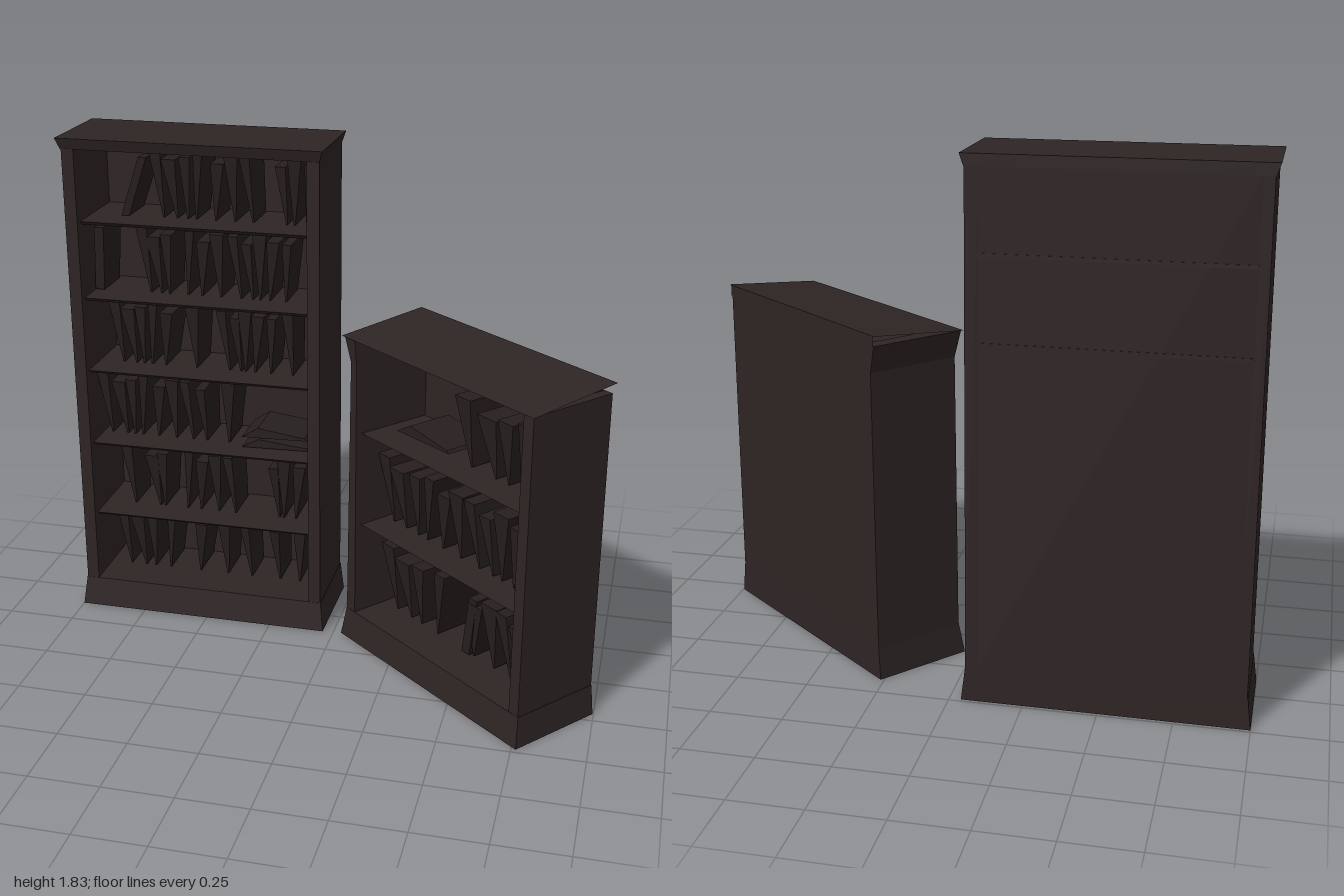
import * as THREE from 'three';

const wood = new THREE.MeshStandardMaterial({ color: 0x2e2424 });
wood.name = 'dark wood';
const cover = new THREE.MeshStandardMaterial({ color: 0x271f1f });
cover.name = 'dark book cover';
const panel = new THREE.MeshStandardMaterial({ color: 0x2e2424, side: THREE.DoubleSide });
panel.name = 'thin dark wood';

// Six-sided block between two level rectangles, each given as [x0, x1, zBack, zFront].
function block(parent, name, y0, low, y1, high = low, material = wood) {
  const g = new THREE.BoxGeometry(1, 1, 1);
  const p = g.attributes.position;
  for (let i = 0; i < p.count; i++) {
    const up = p.getY(i) > 0;
    const r = up ? high : low;
    p.setXYZ(i, p.getX(i) < 0 ? r[0] : r[1], up ? y1 : y0, p.getZ(i) < 0 ? r[2] : r[3]);
  }
  g.computeVertexNormals();
  const mesh = new THREE.Mesh(g, material);
  mesh.name = name;
  parent.add(mesh);
  return mesh;
}

// Row of wedge-shaped books: wide at the top, pointed at the foot.
function bookRow(parent, y, height, xs, width, lean) {
  const row = new THREE.Group();
  row.name = 'bookRow';
  xs.forEach((x, i) => {
    const h = height * (0.92 + 0.08 * Math.cos(i * 2.3));
    const w = width * (0.9 + 0.2 * Math.sin(i * 1.7));
    const foot = x + lean * Math.sin(i * 1.1 + 1);
    block(row, 'book', y, [foot - 0.003, foot + 0.003, -0.13, 0.03],
      y + h, [x - w / 2, x + w / 2, -0.13, 0.06], cover);
  });
  parent.add(row);
}

// Leaning book with an even thickness.
function leaningBook(parent, y, h, foot, top, w) {
  block(parent, 'leaningBook', y, [foot, foot + w, -0.12, 0.04],
    y + h, [top, top + w, -0.12, 0.06], cover);
}

// Book lying flat, tapering to one end.
function lyingBook(parent, x0, x1, y, thick) {
  const s = new THREE.Shape([[x0, 0], [x1, 0.005], [x1 - 0.01, 0.015], [x0 + (x1 - x0) * 0.25, thick]]
    .map(([a, b]) => new THREE.Vector2(a, b + y)));
  const g = new THREE.ExtrudeGeometry(s, { depth: 0.18, bevelEnabled: false });
  g.translate(0, 0, -0.12);
  const mesh = new THREE.Mesh(g, cover);
  mesh.name = 'lyingBook';
  parent.add(mesh);
}

// Plinth, sides, back and shelves shared by both bookcases.
function carcass(name, top, shelves) {
  const c = new THREE.Group();
  c.name = name;
  block(c, 'plinth', 0, [-0.48, 0.48, -0.178, 0.183], 0.11, [-0.467, 0.467, -0.176, 0.166]);
  block(c, 'back', 0.11, [-0.43, 0.43, -0.176, -0.155], top);
  block(c, 'rightEndPanel', 0.11, [0.42, 0.465, -0.176, 0.165], top);
  for (const y of shelves) {
    block(c, 'shelf', y - 0.017, [-0.425, 0.425, -0.16, 0.115], y, [-0.425, 0.425, -0.16, 0.14]);
  }
  return c;
}

function tallBookcase() {
  const shelves = [0.38, 0.67, 0.96, 1.24, 1.525];
  const c = carcass('tallBookcase', 1.79, shelves);
  block(c, 'leftEndPanel', 0.11, [-0.465, -0.42, -0.176, 0.165], 1.79);
  block(c, 'cornice', 1.79, [-0.466, 0.466, -0.177, 0.17], 1.83, [-0.48, 0.48, -0.178, 0.183]);
  // Shelf ends showing through the back
  for (const y of [1.24, 1.525]) block(c, 'shelfBackEdge', y - 0.012, [-0.43, 0.43, -0.178, -0.17], y);
  // Book positions in order from the bottom shelf to the top one
  const rows = [
    [-0.35, -0.29, -0.23, -0.15, -0.03, 0.06, 0.14, 0.26, 0.36],
    [-0.32, -0.22, -0.18, -0.07, -0.02, 0.03, 0.08, 0.26, 0.30, 0.36],
    [-0.40, -0.34, -0.29, -0.24, -0.18, -0.13, -0.08, -0.02, 0.09],
    [-0.34, -0.29, -0.24, -0.19, -0.14, -0.04, 0.07, 0.12, 0.16, 0.21, 0.26, 0.32],
    [-0.22, -0.18, -0.13, -0.04, 0.01, 0.06, 0.12, 0.17, 0.22, 0.27, 0.32],
    [-0.16, -0.11, -0.05, 0.0, 0.07, 0.12, 0.17, 0.30, 0.35, 0.41],
  ];
  [0.115, ...shelves].forEach((y, i) => bookRow(c, y + 0.005, 0.25, rows[i], 0.048, 0.022));
  leaningBook(c, 1.53, 0.22, -0.30, -0.22, 0.03);
  leaningBook(c, 1.245, 0.24, -0.415, -0.40, 0.035);
  lyingBook(c, 0.14, 0.40, 0.675, 0.035);
  lyingBook(c, 0.14, 0.39, 0.715, 0.04);
  c.position.set(-0.52, 0, -0.31);
  return c;
}

function shortBookcase() {
  const c = carcass('shortBookcase', 1.18, [0.465, 0.825]);
  // Slightly leaning end panel that flares out under the top
  const foot = [-0.467, -0.42, -0.176, 0.165];
  const neck = [-0.452, -0.42, -0.176, 0.165];
  block(c, 'leftEndPanel', 0.11, foot, 1.09, neck);
  block(c, 'leftEndFlare', 1.09, neck, 1.185, [-0.475, -0.42, -0.176, 0.175]);
  block(c, 'ceiling', 1.17, [-0.43, 0.43, -0.17, 0.15], 1.182);
  // Thin top sloping down to the front, with a strip behind it
  const top = new THREE.PlaneGeometry(0.965, Math.hypot(0.361, 0.035));
  top.rotateX(-Math.PI / 2 + Math.atan2(0.035, 0.361));
  top.translate(0, 1.2025, 0.0025);
  const lid = new THREE.Mesh(top, panel);
  lid.name = 'slopingTop';
  const strip = new THREE.PlaneGeometry(0.94, 0.04);
  strip.rotateY(Math.PI);
  strip.translate(0, 1.2, -0.177);
  const rear = new THREE.Mesh(strip, wood);
  rear.name = 'rearStrip';
  c.add(lid, rear);
  bookRow(c, 0.12, 0.26, [-0.36, -0.28, -0.19, -0.07, 0.12, 0.19, 0.25, 0.32], 0.075, 0.035);
  bookRow(c, 0.47, 0.26, [-0.39, -0.32, -0.22, -0.14, -0.06, 0, 0.07, 0.15, 0.23, 0.31], 0.07, 0.035);
  bookRow(c, 0.83, 0.25, [0.02, 0.14, 0.23, 0.32], 0.085, 0.03);
  leaningBook(c, 0.12, 0.24, 0.04, 0.09, 0.04);
  leaningBook(c, 0.47, 0.2, 0.29, 0.34, 0.04);
  lyingBook(c, -0.32, -0.04, 0.85, 0.04);
  c.rotation.y = -THREE.MathUtils.degToRad(40);
  c.position.set(0.515, 0, 0.035);
  return c;
}

export function createModel() {
  const model = new THREE.Group();
  model.name = 'bookcases';
  model.add(tallBookcase(), shortBookcase());
  return model;
}
